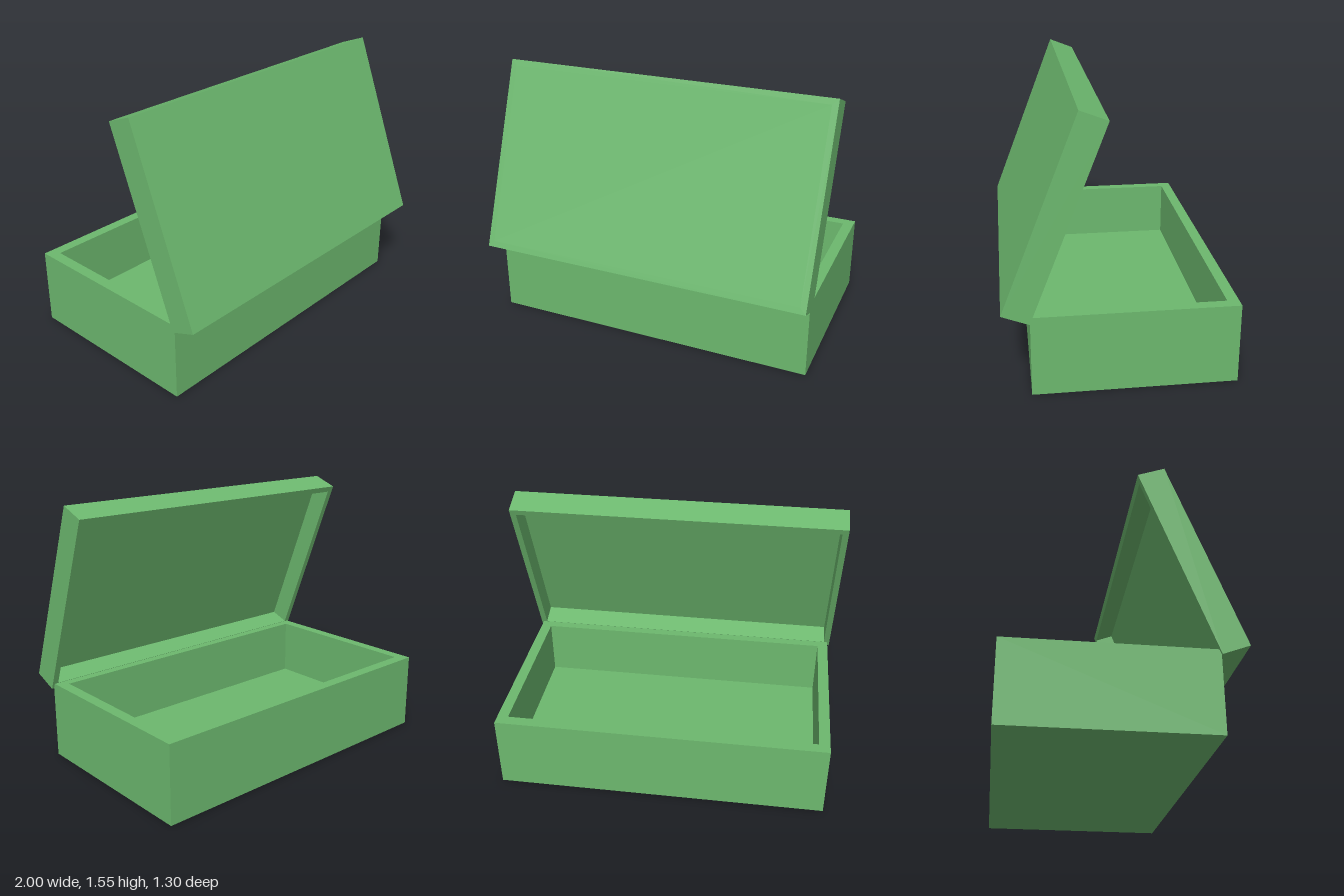
import * as THREE from 'three';

const green = new THREE.MeshStandardMaterial({ color: 0x6cb86e });
green.name = 'green';

function rectangle(PathType, w, d) {
  const p = new PathType();
  p.moveTo(-w / 2, -d / 2);
  p.lineTo(w / 2, -d / 2);
  p.lineTo(w / 2, d / 2);
  p.lineTo(-w / 2, d / 2);
  p.closePath();
  return p;
}

// Open tray standing on y = 0: a ring of walls around an inset panel
function tray(name, width, depth, height, wall, panelThickness) {
  const group = new THREE.Group();
  group.name = name;
  const innerW = width - 2 * wall, innerD = depth - 2 * wall;

  const ring = rectangle(THREE.Shape, width, depth);
  ring.holes.push(rectangle(THREE.Path, innerW, innerD));
  const wallGeometry = new THREE.ExtrudeGeometry(ring, { depth: height, bevelEnabled: false });
  wallGeometry.rotateX(-Math.PI / 2);
  const walls = new THREE.Mesh(wallGeometry, green);
  walls.name = name + 'Walls';

  const panel = new THREE.Mesh(new THREE.BoxGeometry(innerW, panelThickness, innerD), green);
  panel.name = name + 'Panel';
  panel.position.y = panelThickness / 2;

  group.add(walls, panel);
  return group;
}

export function createModel() {
  const model = new THREE.Group();
  model.name = 'hingedBox';

  // Deep base
  const base = tray('base', 1.965, 1.125, 0.46, 0.065, 0.108);
  base.position.z = -0.075;

  // Shallow lid, swung open on the front edge and leaning back over the base
  const lid = tray('lid', 1.992, 1.145, 0.16, 0.036, 0.036);
  lid.rotation.x = THREE.MathUtils.degToRad(-111);
  lid.position.set(0, 1.02, 0.433);

  model.add(base, lid);
  model.rotation.y = -0.0122; // very slight turn of the whole box
  return model;
}
